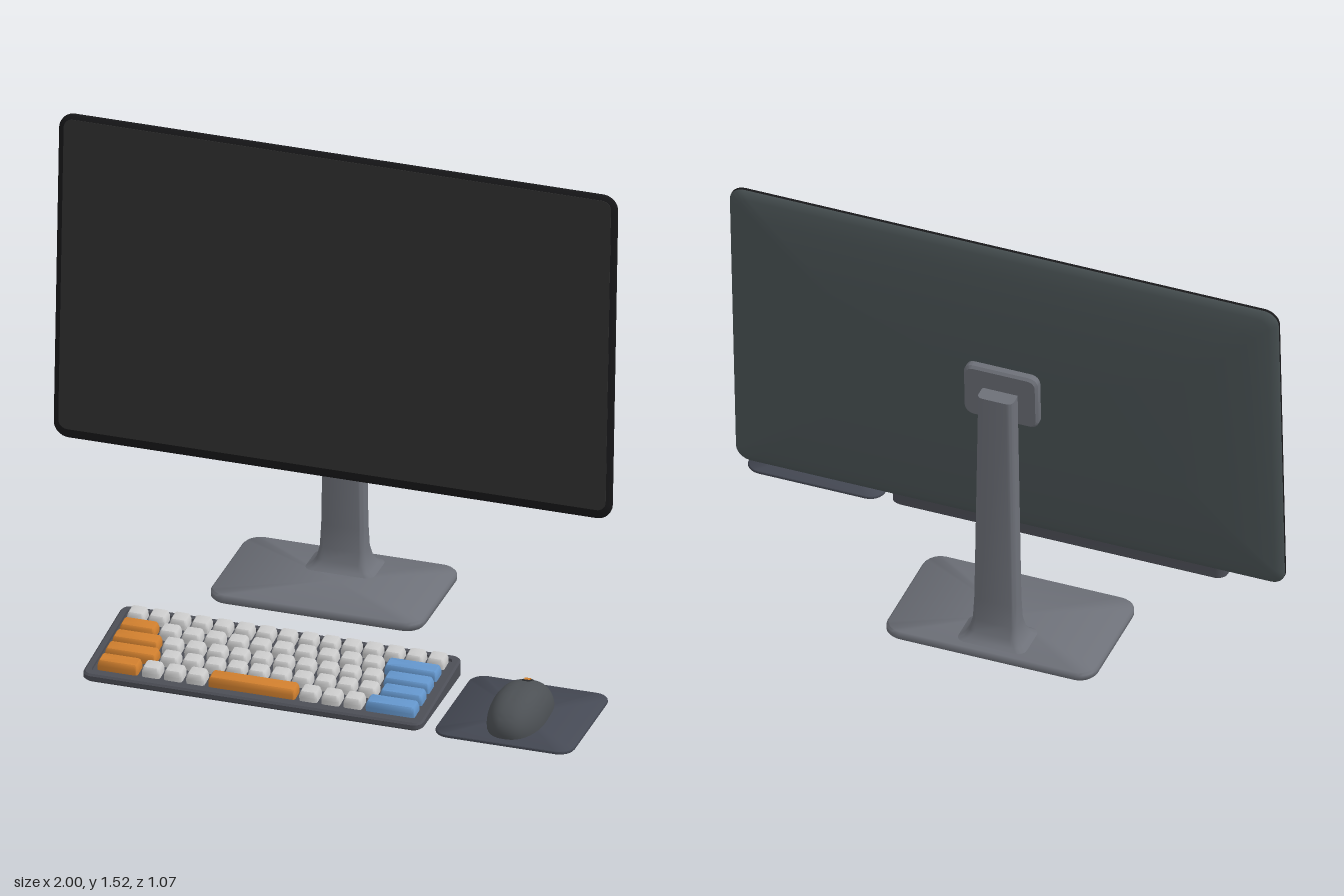
import * as THREE from 'three';
import { mergeVertices, toCreasedNormals } from 'three/addons/utils/BufferGeometryUtils.js';

const mat = (color) => new THREE.MeshStandardMaterial({ color });
const M = {
  stand: mat(0x6d7078), shell: mat(0x4b5456), bezel: mat(0x18181a), screen: mat(0x2e2e2e),
  board: mat(0x4c4e56), pad: mat(0x454954), mouse: mat(0x4c5054), dark: mat(0x26282b),
  white: mat(0xcccccc), orange: mat(0xd07f2e), blue: mat(0x6496cc),
};

// Closed solid through rounded-rectangle sections { w, d, r, y, z, slope } stacked along y
function loft(sections, corner = 6, crease = 0.5) {
  const pos = [], idx = [], n = corner * 4 + 4;
  const height = (s, z) => s.y - (s.slope || 0) * z;
  for (const s of sections) {
    for (let q = 0; q < 4; q++) {
      const sx = q === 0 || q === 3 ? 1 : -1, sz = q < 2 ? -1 : 1;
      for (let i = 0; i <= corner; i++) {
        const a = (q + i / corner) * Math.PI / 2;
        const z = (s.z || 0) + sz * (s.d / 2 - s.r) - s.r * Math.sin(a);
        pos.push(sx * (s.w / 2 - s.r) + s.r * Math.cos(a), height(s, z), z);
      }
    }
  }
  const last = sections.length - 1;
  for (const s of [sections[0], sections[last]]) pos.push(0, height(s, s.z || 0), s.z || 0);
  const c0 = sections.length * n;
  for (let j = 0; j < n; j++) {
    const k = (j + 1) % n;
    for (let i = 0; i < last; i++) {
      const a = i * n + j, b = i * n + k;
      idx.push(a, b, b + n, a, b + n, a + n);
    }
    idx.push(c0, k, j, c0 + 1, last * n + j, last * n + k);
  }
  const g = new THREE.BufferGeometry();
  g.setAttribute('position', new THREE.Float32BufferAttribute(pos, 3));
  g.setIndex(idx);
  return toCreasedNormals(g, crease);
}

// Rounded slab with small bevels above and below
const slab = (w, d, h, r, b) => loft([
  { w: w - 2 * b, d: d - 2 * b, r: r - b, y: 0 }, { w, d, r, y: b },
  { w, d, r, y: h - b }, { w: w - 2 * b, d: d - 2 * b, r: r - b, y: h },
], 6, 0.9);

function add(parent, name, geometry, material, x = 0, y = 0, z = 0) {
  const m = new THREE.Mesh(geometry, material);
  m.name = name;
  m.position.set(x, y, z);
  parent.add(m);
  return m;
}

function group(parent, name, x = 0, y = 0, z = 0) {
  const g = new THREE.Group();
  g.name = name;
  g.position.set(x, y, z);
  parent.add(g);
  return g;
}

function buildMonitor(root) {
  const monitor = group(root, 'monitor', -0.0725, 0.96, -0.333);
  monitor.rotation.x = -0.053;
  const W = 1.855, H = 1.12;
  const inset = (i, y, r) => ({ w: W - 2 * i, d: H - 2 * i, r, y });
  // these lofts run from the front towards the back
  const layer = (name, sections, material, crease) => {
    add(monitor, name, loft(sections, 8, crease), material).rotation.x = -Math.PI / 2;
  };
  layer('bezel', [inset(0.012, 0, 0.04), inset(0, 0.008, 0.05), inset(0, 0.018, 0.05)], M.bezel, 0.9);
  layer('backShell', [inset(0, 0.018, 0.05), inset(0.006, 0.024, 0.045), inset(0.03, 0.031, 0.04),
    inset(0.09, 0.039, 0.04), inset(0.18, 0.046, 0.04), inset(0.32, 0.051, 0.04)], M.shell, 0.9);
  layer('screen', [{ w: W - 0.036, d: H - 0.046, r: 0.03, y: -0.002, z: 0.009 },
    { w: W - 0.036, d: H - 0.046, r: 0.03, y: 0.004, z: 0.009 }], M.screen);
  layer('mountPlate', [{ w: 0.25, d: 0.2, r: 0.03, y: 0.045 }, { w: 0.25, d: 0.2, r: 0.03, y: 0.072 },
    { w: 0.234, d: 0.184, r: 0.025, y: 0.08 }], M.stand);
}

function buildStand(root) {
  const stand = group(root, 'stand', -0.0725, 0, 0);
  add(stand, 'standBase', slab(0.71, 0.43, 0.03, 0.06, 0.007), M.stand, 0, 0, -0.325);
  add(stand, 'standColumn', loft([
    { w: 0.25, d: 0.16, r: 0.03, y: 0.025, z: -0.438 },
    { w: 0.2, d: 0.125, r: 0.03, y: 0.038, z: -0.436 },
    { w: 0.17, d: 0.1, r: 0.026, y: 0.06, z: -0.435 },
    { w: 0.152, d: 0.08, r: 0.022, y: 0.1, z: -0.435 },
    { w: 0.145, d: 0.07, r: 0.02, y: 0.18, z: -0.435 },
    { w: 0.12, d: 0.068, r: 0.02, y: 0.98, z: -0.435 },
  ], 6, 0.7), M.stand);
}

function buildKeyboard(root) {
  const keyboard = group(root, 'keyboard', -0.065, 0, 0.32);
  const slope = 0.083;
  add(keyboard, 'keyboardCase', loft([
    { w: 1.11, d: 0.41, r: 0.024, y: 0.004 },
    { w: 1.13, d: 0.425, r: 0.03, y: 0.012 },
    { w: 1.13, d: 0.425, r: 0.03, y: 0.043, slope },
    { w: 1.118, d: 0.413, r: 0.024, y: 0.049, slope },
    { w: 1.082, d: 0.375, r: 0.014, y: 0.049, slope },
    { w: 1.082, d: 0.375, r: 0.014, y: 0.039, slope },
  ]), M.board);

  // each row: [width, colour, count], scaled to fill the row
  const rows = [
    [[1, 'white', 15]],
    [[1.75, 'orange', 1], [1, 'white', 10], [2.5, 'blue', 1]],
    [[2.25, 'orange', 1], [1, 'white', 10], [2.25, 'blue', 1]],
    [[2.5, 'orange', 1], [1, 'white', 10], [2.1, 'blue', 1]],
    [[2, 'orange', 1], [1, 'white', 3], [4.1, 'orange', 1], [1, 'white', 3], [2.4, 'blue', 1]],
  ];
  const keys = group(keyboard, 'keys', 0, 0.039, 0);
  keys.rotation.x = Math.atan(slope);
  const span = 1.068, gap = 0.013, d = 0.058;
  rows.forEach((row, r) => {
    const unit = span / row.reduce((sum, [w, , count]) => sum + w * count, 0);
    let x = -span / 2;
    for (const [units, color, count] of row) {
      const w = units * unit - gap;
      const cap = loft([
        { w, d, r: 0.008, y: 0 }, { w, d, r: 0.008, y: 0.016 },
        { w: w - 0.007, d: d - 0.007, r: 0.008, y: 0.03 },
        { w: w - 0.014, d: d - 0.014, r: 0.006, y: 0.034 },
      ], 3, 0.8);
      for (let i = 0; i < count; i++, x += units * unit) {
        add(keys, color + 'Key', cap, M[color], x + units * unit / 2, 0, (r - 2) * 0.074 - 0.012);
      }
    }
  });
}

function buildMouse(root) {
  add(root, 'mousePad', slab(0.46, 0.425, 0.01, 0.05, 0.002), M.pad, 0.765, 0, 0.32);
  const mouse = group(root, 'mouse', 0.765, 0.01, 0.33);
  // sphere squared off, flattened below and leaned towards the palm
  const body = new THREE.SphereGeometry(1, 40, 32);
  const p = body.attributes.position;
  for (let i = 0; i < p.count; i++) {
    const a = p.getX(i), b = Math.max(0, p.getY(i)), c = p.getZ(i);
    const waist = 1 - 0.05 * Math.exp(-Math.pow((c + 0.1) / 0.35, 2)) * (1 - b);
    p.setXYZ(i, Math.sign(a) * Math.pow(Math.abs(a), 0.8) * 0.094 * waist, b * 0.11, 0.172 * (c + 0.18 * b));
  }
  body.deleteAttribute('uv');
  body.deleteAttribute('normal');
  add(mouse, 'mouseBody', toCreasedNormals(mergeVertices(body, 1e-5), 0.9), M.mouse);
  // scroll wheel in its slot
  const slot = add(mouse, 'wheelSlot', slab(0.03, 0.056, 0.02, 0.014, 0.002), M.dark, 0, 0.074, -0.064);
  slot.rotation.x = -0.4;
  const wheel = new THREE.CylinderGeometry(0.022, 0.022, 0.018, 24).rotateZ(Math.PI / 2);
  add(mouse, 'scrollWheel', wheel, M.orange, 0, 0.077, -0.064);
}

export function createModel() {
  const root = new THREE.Group();
  root.name = 'desktopSetup';
  buildMonitor(root);
  buildStand(root);
  buildKeyboard(root);
  buildMouse(root);
  return root;
}
